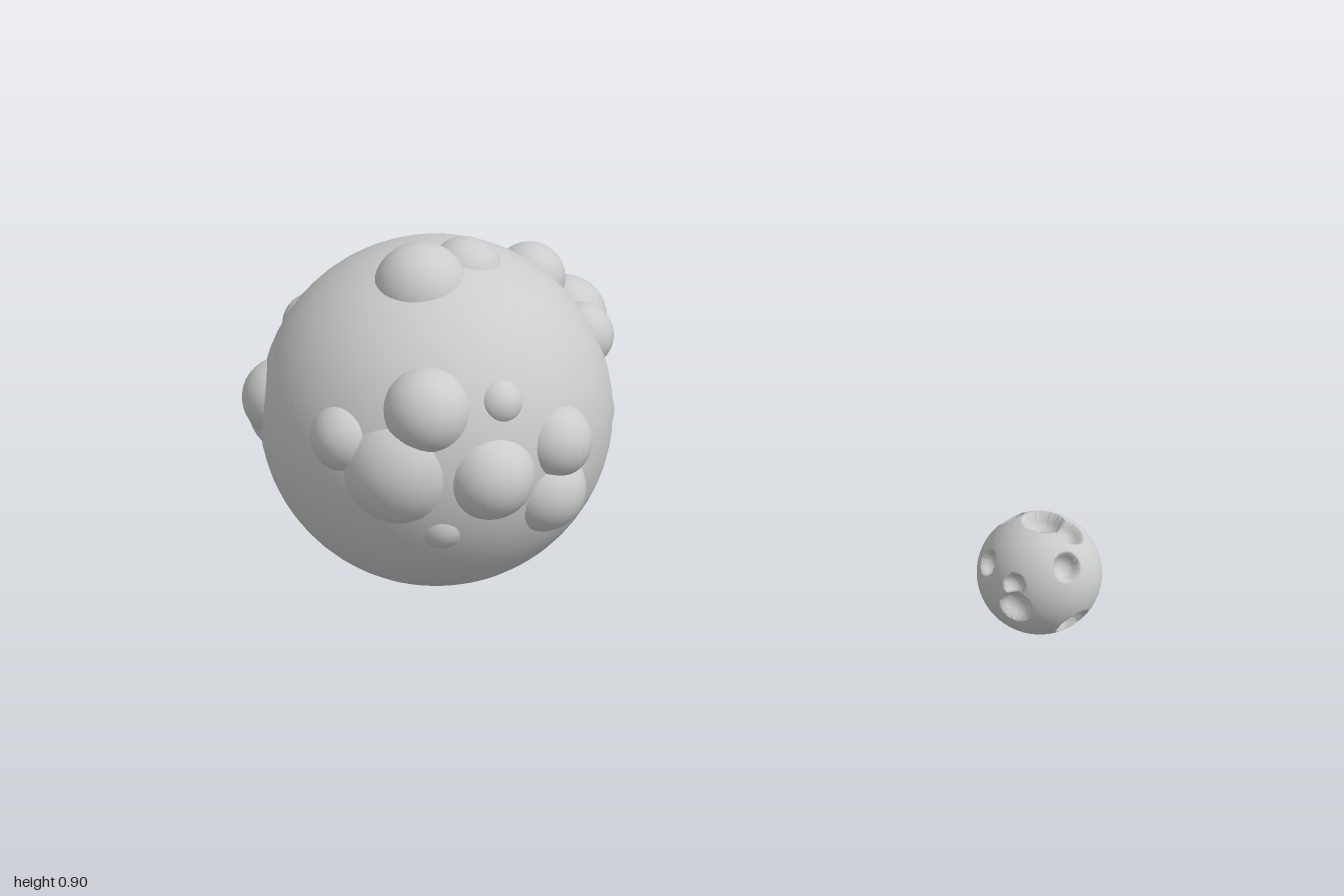
import * as THREE from 'three';
import { mergeVertices } from 'three/addons/utils/BufferGeometryUtils.js';

const material = () => new THREE.MeshStandardMaterial({ color: 0xcccccc });

// Smooth ball placed at a centre
function ball(name, radius, [x, y, z], segments) {
  const geometry = new THREE.SphereGeometry(radius, segments, segments / 2);
  const mesh = new THREE.Mesh(geometry, material());
  mesh.name = name;
  mesh.position.set(x, y, z);
  return mesh;
}

// Ball with round hollows: each surface point is pulled in to the near wall of any crater it lies in
function crateredBall(radius, craters) {
  let geometry = new THREE.IcosahedronGeometry(1, 40);
  geometry.deleteAttribute('normal');
  geometry.deleteAttribute('uv');
  geometry = mergeVertices(geometry);
  const hollows = craters.map(([x, y, z, r]) => ({ c: new THREE.Vector3(x, y, z).normalize(), r }));
  const position = geometry.attributes.position;
  const u = new THREE.Vector3();
  for (let i = 0; i < position.count; i++) {
    u.fromBufferAttribute(position, i).normalize();
    let t = 1;
    for (const { c, r } of hollows) {
      const along = u.dot(c);
      const disc = along * along - 1 + r * r;
      if (along > 0 && disc > 0) t = Math.min(t, along - Math.sqrt(disc));
    }
    u.multiplyScalar(t * radius);
    position.setXYZ(i, u.x, u.y, u.z);
  }
  geometry.computeVertexNormals();
  return geometry;
}

// Hills on the planet by region: x, y, z, radius
const HILLS = {
  topHill: [
    [-0.54, 0.787, -0.045, 0.11], [-0.46, 0.79, -0.14, 0.088],
  ],
  bottomHill: [
    [-0.54, 0.09, -0.13, 0.09], [-0.44, 0.097, -0.13, 0.085], [-0.54, 0.11, -0.24, 0.08],
  ],
  frontHill: [
    [-0.543, 0.463, 0.165, 0.15], [-0.478, 0.605, 0.19, 0.1], [-0.345, 0.45, 0.18, 0.102],
    [-0.66, 0.53, 0.195, 0.085], [-0.455, 0.335, 0.2, 0.065], [-0.33, 0.61, 0.135, 0.055],
  ],
  leftHill: [
    [-0.22, 0.487, 0.064, 0.087], [-0.25, 0.365, 0.068, 0.101],
    [-0.22, 0.59, -0.285, 0.078], [-0.215, 0.39, -0.29, 0.072],
  ],
  backHill: [
    [-0.35, 0.71, -0.33, 0.085], [-0.28, 0.585, -0.39, 0.103], [-0.27, 0.387, -0.385, 0.1],
    [-0.65, 0.645, -0.43, 0.09], [-0.48, 0.61, -0.46, 0.07],
  ],
  rightHill: [
    [-0.86, 0.585, -0.255, 0.08], [-0.9, 0.41, -0.14, 0.1],
    [-0.88, 0.5, -0.03, 0.095], [-0.85, 0.455, -0.3, 0.07],
  ],
};

// Craters on the moon: direction x, y, z and radius relative to the moon
const CRATERS = [
  [0, 1, 0, 0.33], [0.4, 0.88, 0.15, 0.25], [-0.5, 0.78, -0.35, 0.2],
  [0.15, -0.95, -0.2, 0.36], [-0.85, 0.35, 0.4, 0.2],
  [-0.35, -0.15, 0.92, 0.26], [-0.4, 0.25, 0.88, 0.17], [0.4, 0.55, 0.72, 0.22],
  [0.6, -0.55, 0.6, 0.28], [0.85, 0.18, -0.48, 0.22], [0.57, -0.39, -0.72, 0.22],
  [-0.22, 0.25, -0.92, 0.24],
];

export function createModel() {
  const model = new THREE.Group();
  model.name = 'planetAndMoon';

  // Planet body with half-sunk hills
  const planet = new THREE.Group();
  planet.name = 'planet';
  planet.add(ball('planetBody', 0.415, [-0.54, 0.44, -0.135], 64));
  for (const [name, hills] of Object.entries(HILLS)) {
    for (const [x, y, z, r] of hills) planet.add(ball(name, r, [x, y, z], 40));
  }
  model.add(planet);

  // Cratered moon
  const moon = new THREE.Mesh(crateredBall(0.128, CRATERS), material());
  moon.name = 'moon';
  moon.position.set(0.87, 0.447, 0.427);
  model.add(moon);

  return model;
}
